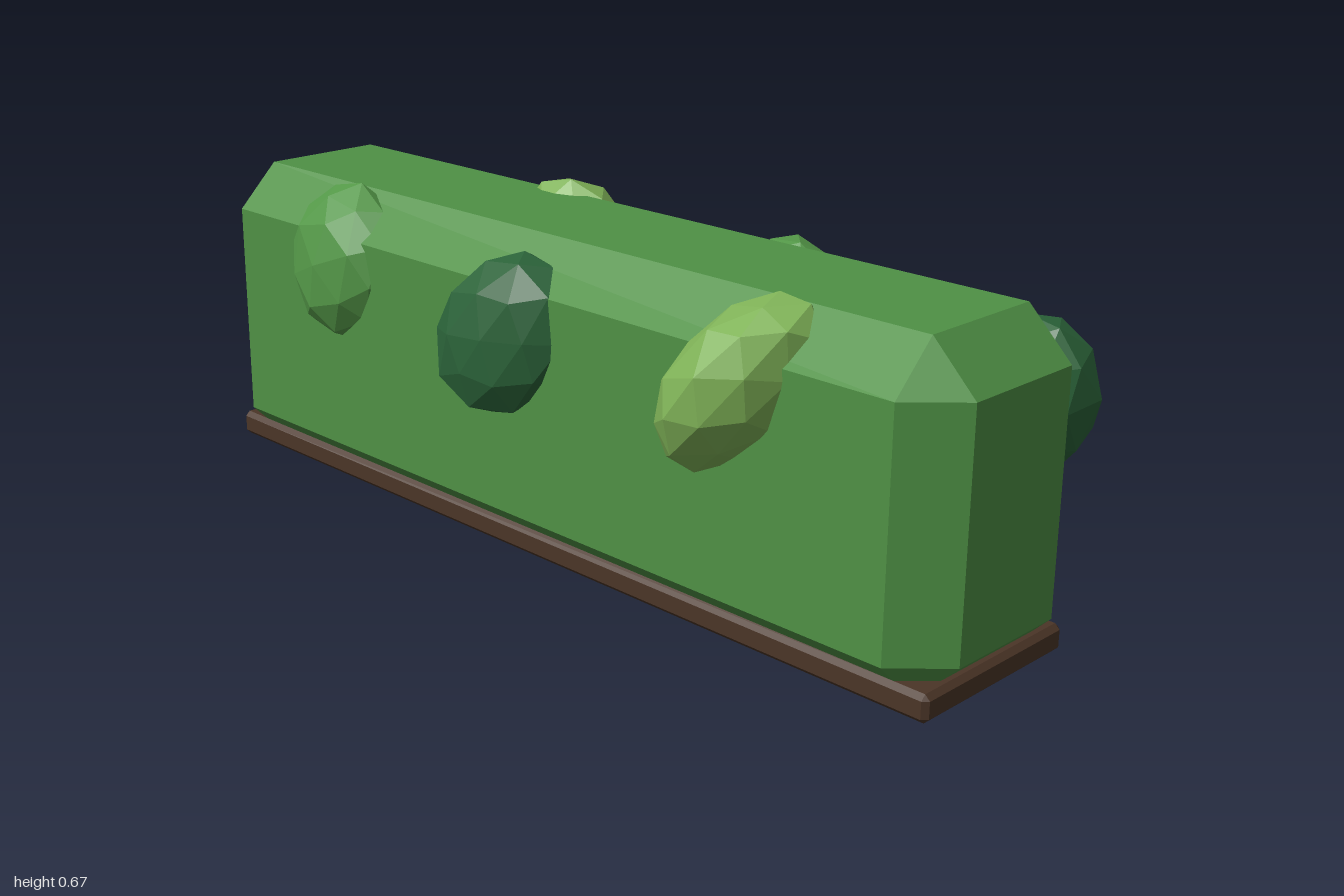
import * as THREE from 'three';
import { ConvexGeometry } from 'three/addons/geometries/ConvexGeometry.js';

const material = (color) => new THREE.MeshStandardMaterial({ color, flatShading: true });

const HEDGE = material(0x4f9145);
const WOOD = material(0x4b3527);
const DARK = material(0x2b6339);
const MID = material(0x549848);
const LIME = material(0x7fb257);

// Box with every edge cut at 45 degrees by c
function chamferBox(w, h, d, c) {
  const half = [w / 2, h / 2, d / 2];
  const points = [];
  for (const sx of [-1, 1]) for (const sy of [-1, 1]) for (const sz of [-1, 1]) {
    for (let full = 0; full < 3; full++) {
      const p = half.map((v, i) => (i === full ? v : v - c));
      points.push(new THREE.Vector3(p[0] * sx, p[1] * sy, p[2] * sz));
    }
  }
  return new ConvexGeometry(points);
}

// Low-poly leaf clump: icosphere with slightly uneven radius
function clumpGeometry(seed) {
  const geo = new THREE.IcosahedronGeometry(1, 1);
  const pos = geo.attributes.position;
  const v = new THREE.Vector3();
  for (let i = 0; i < pos.count; i++) {
    v.fromBufferAttribute(pos, i);
    const bump = Math.sin(v.x * 5.1 + seed) * Math.cos(v.y * 4.3 + seed * 2) + Math.sin(v.z * 4.7 + seed * 3);
    v.multiplyScalar(1 + 0.035 * bump);
    pos.setXYZ(i, v.x, v.y, v.z);
  }
  geo.computeVertexNormals();
  return geo;
}

export function createModel() {
  const group = new THREE.Group();
  const add = (name, geo, mat, x, y, z) => {
    const mesh = new THREE.Mesh(geo, mat);
    mesh.name = name;
    mesh.position.set(x, y, z);
    group.add(mesh);
    return mesh;
  };

  // Clipped hedge, its tapered foot set into the wooden base
  add('hedgeBody', chamferBox(1.945, 0.637, 0.445, 0.09), HEDGE, 0.0175, 0.3185, 0.0075);
  add('basePlinth', chamferBox(1.92, 0.053, 0.395, 0.01), WOOD, 0.015, 0.0285, 0.0075);

  // Leaf clumps: name, material, centre, radii, rotation
  const clumps = [
    ['frontClumpRight', MID, [-0.55, 0.48, 0.185], [0.16, 0.17, 0.09], [-0.1, 0, -0.2]],
    ['frontClumpMiddle', DARK, [-0.015, 0.45, 0.215], [0.138, 0.178, 0.095], [-0.1, 0.2, -0.6]],
    ['frontClumpLeft', LIME, [0.553, 0.49, 0.205], [0.11, 0.19, 0.125], [-0.3, 0.1, -0.6]],
    ['backClumpRight', DARK, [-0.825, 0.43, -0.16], [0.178, 0.16, 0.115], [0.15, 0.15, -0.2]],
    ['backClumpMiddleRight', LIME, [-0.23, 0.495, -0.165], [0.135, 0.175, 0.11], [0.3, 0.2, -0.2]],
    ['backClumpMiddleLeft', MID, [0.315, 0.47, -0.22], [0.135, 0.165, 0.095], [0.2, 0, -0.25]],
    ['backClumpLeft', DARK, [0.85, 0.435, -0.215], [0.128, 0.175, 0.12], [0.2, -0.2, -0.5]],
  ];
  clumps.forEach(([name, mat, centre, radii, rotation], i) => {
    const mesh = add(name, clumpGeometry(i + 1), mat, ...centre);
    mesh.scale.set(...radii);
    mesh.rotation.set(...rotation);
  });

  return group;
}
